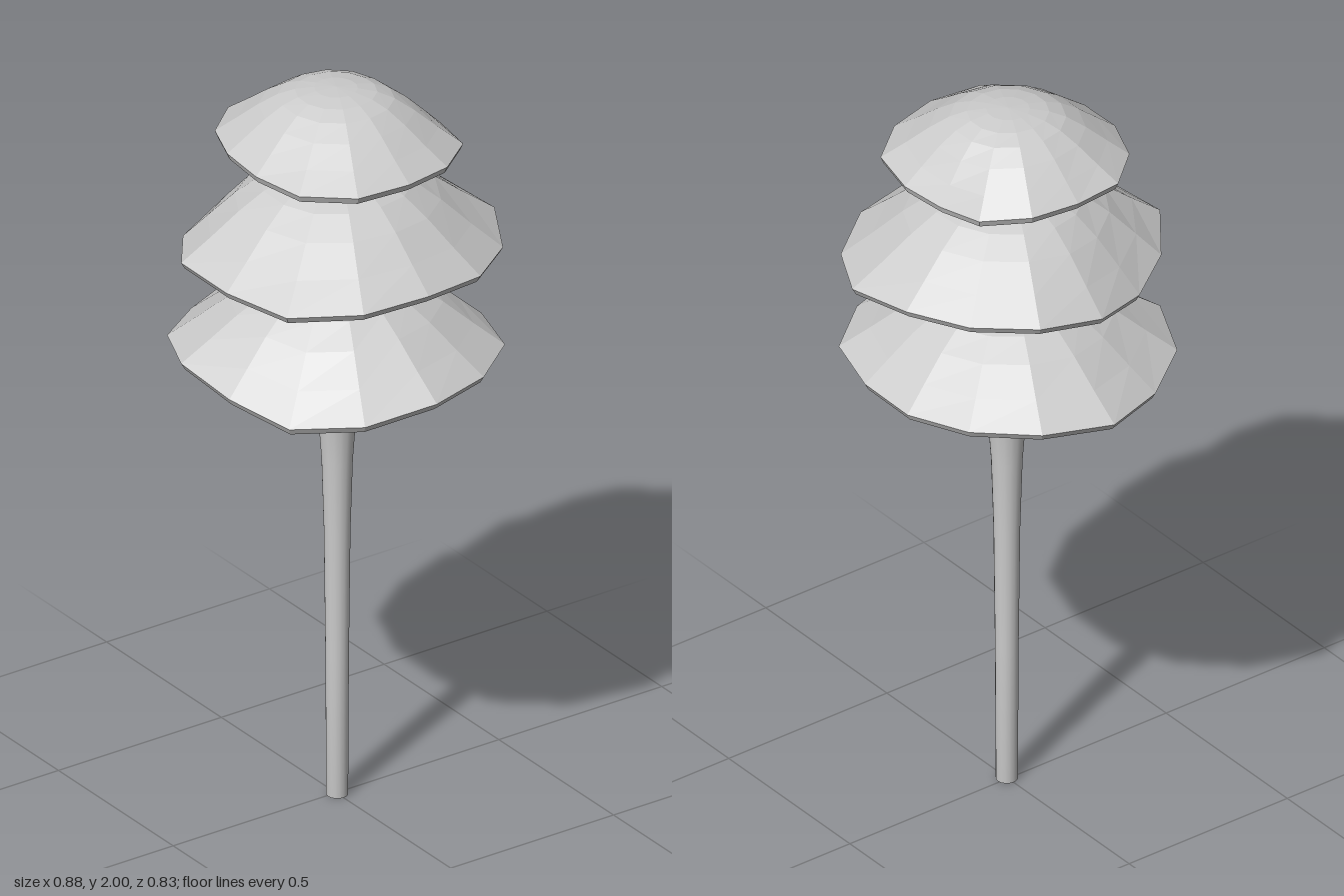
import * as THREE from 'three';

const capMaterial = new THREE.MeshStandardMaterial({ color: 0xcccccc, flatShading: true });
const stemMaterial = new THREE.MeshStandardMaterial({ color: 0xcccccc, side: THREE.DoubleSide });
const SIDES = 14;

// Dome section: [fraction of the radius, fraction of the drop from crown to rim]
const DOME = [[0, 0], [0.18, 0.02], [0.34, 0.075], [0.48, 0.19], [0.64, 0.41], [0.82, 0.71], [1, 1]];

// One ring of a cap: round near the crown, following the wavy rim at the edge.
// Corners run from +x round through +z; heights are given at every second corner.
function capRing(top, radii, heights, [f, drop], inner) {
  const mean = radii.reduce((sum, r) => sum + r, 0) / SIDES;
  const crown = inner ? top - 0.03 : top;
  return radii.map((rimRadius, i) => {
    const angle = (i / SIDES) * Math.PI * 2;
    const r = THREE.MathUtils.lerp(mean, rimRadius, f * f) * f * (inner ? 0.975 : 1);
    const h = heights.length;
    const low = (heights[Math.floor(i / 2)] + heights[Math.ceil(i / 2) % h]) / 2;
    const edge = inner ? low : low + 0.018;
    return [Math.cos(angle) * r, crown + (edge - crown) * drop, Math.sin(angle) * r];
  });
}

// Thin closed shell: over the dome, round the rim and back underneath
function buildCap(name, top, radii, heights) {
  const rings = [
    ...DOME.map((p) => capRing(top, radii, heights, p, false)),
    ...[...DOME].reverse().map((p) => capRing(top, radii, heights, p, true)),
  ];
  const positions = [];
  for (let k = 0; k < rings.length - 1; k++) {
    for (let i = 0; i < SIDES; i++) {
      const j = (i + 1) % SIDES;
      const a = rings[k][i], b = rings[k + 1][i], c = rings[k + 1][j], d = rings[k][j];
      if (k < rings.length - 2) positions.push(...a, ...c, ...b);
      if (k > 0) positions.push(...a, ...d, ...c);
    }
  }
  const geometry = new THREE.BufferGeometry();
  geometry.setAttribute('position', new THREE.Float32BufferAttribute(positions, 3));
  geometry.computeVertexNormals();
  const mesh = new THREE.Mesh(geometry, capMaterial);
  mesh.name = name;
  return mesh;
}

// Trumpet-shaped stem section that opens out beneath a cap
function buildStem(name, profile) {
  const points = profile.map(([r, y]) => new THREE.Vector2(r, y));
  const mesh = new THREE.Mesh(new THREE.LatheGeometry(points, 16), stemMaterial);
  mesh.position.x = 0.005;
  mesh.name = name;
  return mesh;
}

export function createModel() {
  const group = new THREE.Group();
  group.name = 'tieredMushroom';

  // Caps
  group.add(
    buildCap('lowerCap', 1.48,
      [0.44, 0.445, 0.42, 0.4, 0.42, 0.425, 0.415, 0.44, 0.425, 0.405, 0.395, 0.395, 0.425, 0.425],
      [1.27, 1.22, 1.28, 1.25, 1.27, 1.26, 1.265]),
    buildCap('middleCap', 1.78,
      [0.405, 0.425, 0.44, 0.41, 0.42, 0.385, 0.37, 0.39, 0.4, 0.395, 0.4, 0.43, 0.42, 0.415],
      [1.56, 1.545, 1.565, 1.53, 1.57, 1.57, 1.54]),
    buildCap('upperCap', 2,
      [0.32, 0.338, 0.33, 0.3, 0.295, 0.305, 0.31, 0.29, 0.3, 0.3, 0.265, 0.285, 0.32, 0.32],
      [1.84, 1.835, 1.85, 1.845, 1.84, 1.815, 1.83]),
  );

  // Stem and the necks between caps
  group.add(
    buildStem('mainStem', [[0, 0], [0.028, 0], [0.03, 0.4], [0.034, 0.75], [0.04, 0.95], [0.05, 1.09],
      [0.067, 1.19], [0.09, 1.26], [0.12, 1.31], [0.16, 1.345], [0.21, 1.37], [0.2, 1.41]]),
    buildStem('middleNeck', [[0.055, 1.45], [0.062, 1.49], [0.078, 1.54], [0.1, 1.58], [0.14, 1.62],
      [0.2, 1.65], [0.19, 1.7]]),
    buildStem('upperNeck', [[0.048, 1.75], [0.054, 1.79], [0.065, 1.83], [0.085, 1.86], [0.115, 1.885],
      [0.155, 1.9], [0.145, 1.93]]),
  );
  return group;
}
